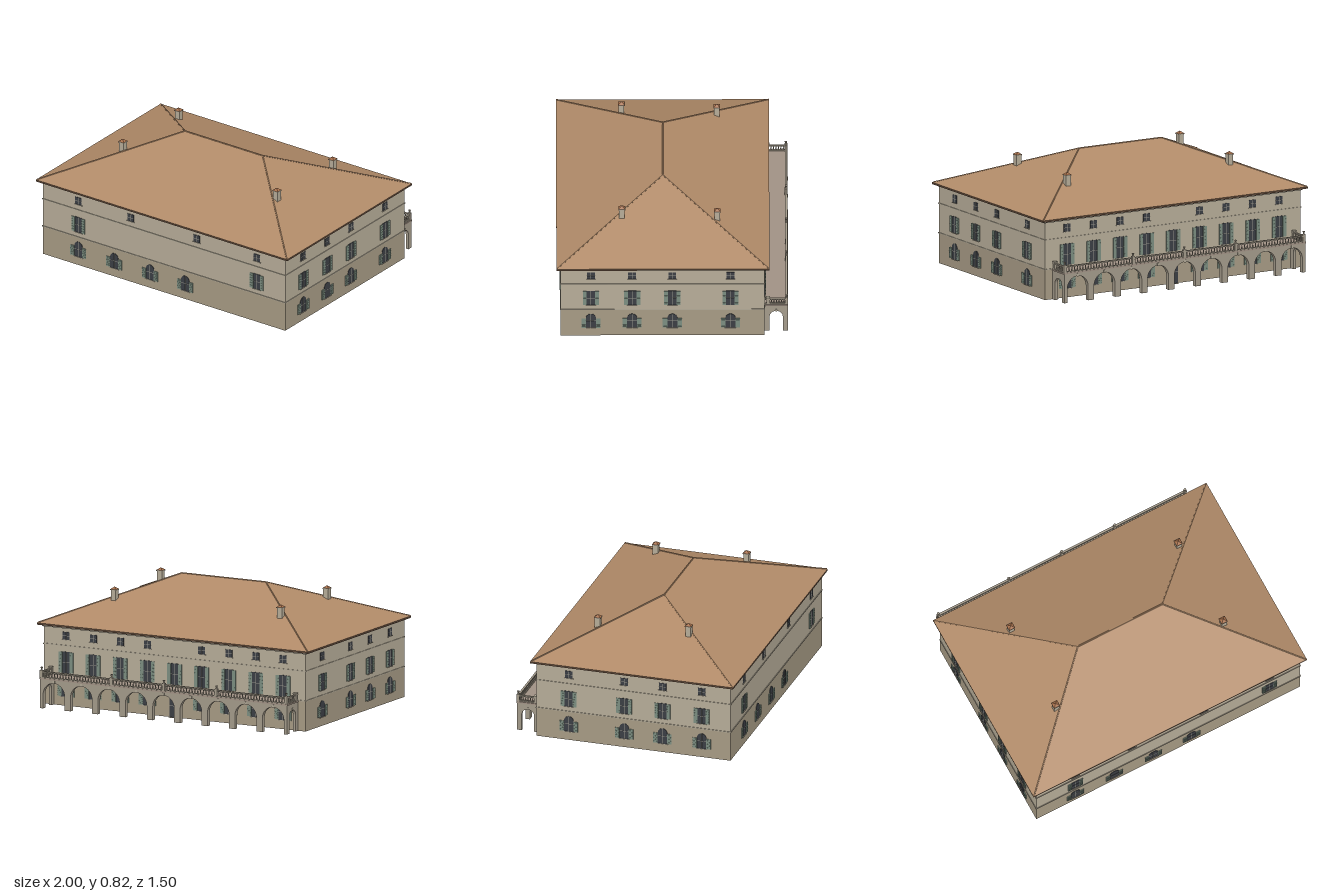
import * as THREE from 'three';
import { mergeGeometries } from 'three/addons/utils/BufferGeometryUtils.js';

const mat = (color, extra = {}) => new THREE.MeshStandardMaterial({ color, ...extra });
const M = {
  wall: mat(0xb6ac98), base: mat(0xa69a84), trim: mat(0xb0a896), glass: mat(0x3b3e44),
  shutter: mat(0x7b8d80), bar: mat(0x98968c), roof: mat(0xb08a68, { flatShading: true }),
  eave: mat(0x5e4838), stone: mat(0xa39a8a), deck: mat(0xa09184), ceiling: mat(0x57534f),
  beam: mat(0x4a3228), cap: mat(0xa8714c, { flatShading: true }),
};
const X = 0.965, ZF = 0.72, ZB = -0.595, ZM = (ZF + ZB) / 2, DEPTH = ZF - ZB;

function add(parent, name, geo, material, x = 0, y = 0, z = 0) {
  const mesh = new THREE.Mesh(geo, material);
  mesh.name = name;
  mesh.position.set(x, y, z);
  parent.add(mesh);
  return mesh;
}
const box = (parent, name, material, w, h, d, x, y, z) =>
  add(parent, name, new THREE.BoxGeometry(w, h, d), material, x, y, z);

// Rectangular or round-headed outline standing on y = 0
function openingShape(w, h, arched) {
  const r = w / 2, s = new THREE.Shape();
  s.moveTo(-r, 0).lineTo(r, 0);
  if (arched) s.lineTo(r, h - r).absarc(0, h - r, r, 0, Math.PI, false);
  else s.lineTo(r, h).lineTo(-r, h);
  s.closePath();
  return s;
}

// One window or door, facing +z on a wall plane at z = 0
function opening(parent, name, x, y, w, h, { arched = false, shutters = true } = {}) {
  const g = new THREE.Group();
  g.name = name;
  g.position.set(x, y, 0);
  parent.add(g);
  const glass = new THREE.ExtrudeGeometry(openingShape(w, h, arched),
    { depth: 0.028, bevelEnabled: false, curveSegments: 10 });
  add(g, 'glass', glass, M.glass, 0, 0, -0.025);
  const side = arched ? h - w / 2 : h;
  box(g, 'mullion', M.bar, 0.003, h, 0.002, 0, h / 2, 0.003);
  box(g, 'transom', M.bar, w, 0.003, 0.002, 0, h / 2, 0.003);
  box(g, 'sill', M.trim, w + 0.01, 0.004, 0.008, 0, -0.002, 0.003);
  if (!shutters) return;
  const sw = w / 2 - 0.002;
  for (const s of [-1, 1]) {
    box(g, 'shutter', M.shutter, sw, side - 0.004, 0.005, s * (w / 2 + sw / 2), side / 2, 0.004);
    for (let i = 1; i < 6; i++)
      box(g, 'slat', M.shutter, sw * 0.75, 0.003, 0.003, s * (w / 2 + sw / 2), side * i / 6, 0.007);
  }
}
const small = (p, x) => opening(p, 'atticWindow', x, 0.435, 0.05, 0.05, { shutters: false });
const middle = (p, x) => opening(p, 'upperWindow', x, 0.235, 0.055, 0.108);
const ground = (p, x) => opening(p, 'archedWindow', x, 0.06, 0.064, 0.106, { arched: true });

// Wall slab pierced by a row of round arches that run to the ground
function arcade(width, bays, r, spring, h, depth) {
  const s = new THREE.Shape(), step = width / bays;
  s.moveTo(-width / 2, 0);
  for (let i = 0; i < bays; i++) {
    const c = -width / 2 + step * (i + 0.5);
    s.lineTo(c - r, 0).lineTo(c - r, spring).absarc(c, spring, r, Math.PI, 0, true).lineTo(c + r, 0);
  }
  s.lineTo(width / 2, 0).lineTo(width / 2, h).lineTo(-width / 2, h).closePath();
  return new THREE.ExtrudeGeometry(s, { depth, bevelEnabled: false, curveSegments: 12 });
}

// Round bar between two points
function rod(parent, name, a, b, r, material) {
  const d = b.clone().sub(a);
  const m = add(parent, name, new THREE.CylinderGeometry(r, r, d.length(), 6), material);
  m.position.copy(a).add(b).multiplyScalar(0.5);
  m.quaternion.setFromUnitVectors(new THREE.Vector3(0, 1, 0), d.normalize());
}

function buildWalls(root) {
  const t = 0.022;
  for (const [name, m, y0, y1] of [['groundFloorWall', M.base, 0, 0.2], ['upperWall', M.wall, 0.2, 0.525]]) {
    const h = y1 - y0, y = (y0 + y1) / 2;
    for (const s of [-1, 1]) box(root, name, m, t, h, DEPTH, s * (X - t / 2), y, ZM);
    for (const z of [ZF - t / 2, ZB + t / 2]) box(root, name, m, 2 * X - 2 * t, h, t, 0, y, z);
  }
  // String courses
  for (const y of [0.2, 0.395]) {
    for (const s of [-1, 1]) box(root, 'stringCourse', M.trim, 0.004, 0.006, DEPTH + 0.008, s * (X + 0.002), y, ZM);
    for (const z of [ZF + 0.002, ZB - 0.002]) box(root, 'stringCourse', M.trim, 2 * X, 0.006, 0.004, 0, y, z);
  }
  // Interior ceiling, timber grid and side landing
  box(root, 'ceiling', M.ceiling, 2 * X - 2 * t, 0.008, DEPTH - 2 * t, 0, 0.394, ZM);
  for (let i = 0; i < 4; i++) box(root, 'longBeam', M.beam, 1.46, 0.014, 0.014, -0.17, 0.375, 0.09 + i * 0.15);
  for (let i = 0; i < 8; i++) box(root, 'crossBeam', M.beam, 0.014, 0.012, 0.56, 0.5 - i * 0.19, 0.386, 0.31);
  box(root, 'landing', M.ceiling, 0.09, 0.02, 0.88, -0.9, 0.18, 0.25);
}

function buildWindows(root) {
  const face = (name, x, z, turn) => {
    const g = new THREE.Group();
    g.name = name;
    g.position.set(x, 0, z);
    g.rotation.y = turn;
    root.add(g);
    return g;
  };
  const front = face('frontWindows', 0, ZF, 0);
  [-0.68, -0.265, 0.26, 0.74].forEach(x => small(front, x));
  [-0.68, 0.74].forEach(x => middle(front, x));
  [-0.68, -0.395, -0.11, 0.17].forEach(x => ground(front, x));

  for (const s of [-1, 1]) {
    const side = face('sideWindows', s * X, 0, s * Math.PI / 2);
    for (const z of [0.525, 0.26, 0, -0.375]) {
      small(side, -s * z);
      middle(side, -s * z);
      ground(side, -s * z);
    }
  }
  const back = face('backWindows', 0, ZB, Math.PI);
  for (let i = -4; i <= 4; i++) {
    const x = i * 0.2;
    if (i) small(back, x);
    opening(back, 'balconyDoor', x, 0.215, 0.055, 0.14);
    if (i) ground(back, x);
    else opening(back, 'backDoor', 0, 0, 0.075, 0.15, { arched: true, shutters: false });
  }
}

function buildRoof(root) {
  const y0 = 0.532, y1 = 0.808, rz = 0.06, ex = 1, ef = 0.748, eb = -0.627, rx = 0.31;
  const V = (x, y, z) => new THREE.Vector3(x, y, z);
  const A = V(-ex, y0, ef), B = V(ex, y0, ef), C = V(ex, y0, eb), D = V(-ex, y0, eb);
  const L = V(-rx, y1, rz), R = V(rx, y1, rz);
  const geo = new THREE.BufferGeometry().setFromPoints(
    [A, B, R, A, R, L, B, C, R, C, D, L, C, L, R, D, A, L]);
  geo.computeVertexNormals();
  add(root, 'hippedRoof', geo, M.roof);
  box(root, 'eaves', M.eave, 2 * ex, 0.012, ef - eb, 0, 0.526, (ef + eb) / 2);
  box(root, 'cornice', M.trim, 2 * X + 0.02, 0.012, DEPTH + 0.02, 0, 0.515, ZM);
  for (const [a, b] of [[A, L], [D, L], [B, R], [C, R], [L, R]]) {
    const lift = V(0, -0.001, 0);
    rod(root, 'ridgeTiles', a.clone().lerp(b, 0.006).add(lift), b.clone().add(lift), 0.005, M.roof);
  }
  // Chimneys
  for (const x of [-0.613, 0.613]) for (const [z, top] of [[0.325, 0.752], [-0.29, 0.732]]) {
    const g = new THREE.Group();
    g.name = 'chimney';
    g.position.set(x, top, z);
    root.add(g);
    box(g, 'stack', M.wall, 0.036, 0.1, 0.036, 0, -0.05, 0);
    box(g, 'capSlab', M.trim, 0.044, 0.006, 0.044, 0, -0.002, 0);
    add(g, 'capRoof', new THREE.ConeGeometry(0.03, 0.016, 4).rotateY(Math.PI / 4), M.cap, 0, 0.009, 0);
  }
}

function buildLoggia(root) {
  const g = new THREE.Group();
  g.name = 'loggia';
  root.add(g);
  const hx = 0.91, zo = -0.745;
  add(g, 'backArcade', arcade(2 * hx, 9, 0.079, 0.092, 0.195, 0.03), M.stone, 0, 0, zo);
  for (const s of [-1, 1]) {
    const side = arcade(0.15, 1, 0.0425, 0.108, 0.195, 0.02).rotateY(Math.PI / 2);
    add(g, 'sideArcade', side, M.stone, s > 0 ? hx - 0.02 : -hx, 0, -0.67);
    box(g, 'sideKeystone', M.trim, 0.004, 0.016, 0.008, s * (hx + 0.001), 0.156, -0.67);
  }
  for (let i = -4; i <= 4; i++) box(g, 'keystone', M.trim, 0.014, 0.02, 0.004, i * 2 * hx / 9, 0.178, zo - 0.001);
  box(g, 'deck', M.deck, 2 * hx + 0.01, 0.01, 0.15, 0, 0.195, -0.672);

  // Balustrade: turned balusters, rails, posts with finials
  const turned = new THREE.LatheGeometry([[0.003, 0], [0.005, 0.01], [0.0025, 0.022], [0.003, 0.033]]
    .map(p => new THREE.Vector2(...p)), 6);
  const balusters = [], zr = -0.737;
  for (let i = 0; i <= 86; i++) balusters.push(turned.clone().translate(-0.89 + i * 1.78 / 86, 0.203, zr));
  for (const s of [-1, 1]) for (let i = 0; i < 6; i++)
    balusters.push(turned.clone().translate(s * 0.902, 0.203, -0.64 - i * 0.016));
  add(g, 'balusters', mergeGeometries(balusters), M.stone);
  for (const [y, h] of [[0.203, 0.006], [0.239, 0.008]]) {
    box(g, 'backRail', M.stone, 1.82, h, 0.014, 0, y, zr);
    for (const s of [-1, 1]) box(g, 'sideRail', M.stone, 0.014, h, 0.135, s * 0.902, y, -0.665);
  }
  for (const x of [-0.902, -0.387, 0, 0.387, 0.902]) {
    box(g, 'post', M.stone, 0.02, 0.05, 0.018, x, 0.225, zr);
    add(g, 'finialStem', new THREE.CylinderGeometry(0.004, 0.007, 0.012, 8), M.stone, x, 0.255, zr);
    add(g, 'finialUrn', new THREE.CylinderGeometry(0.009, 0.005, 0.01, 8), M.stone, x, 0.265, zr);
  }
  for (const s of [-1, 1]) {
    box(g, 'wallPost', M.stone, 0.022, 0.05, 0.022, s * 0.902, 0.225, -0.618);
    box(g, 'wallPostCap', M.trim, 0.026, 0.005, 0.026, s * 0.902, 0.25, -0.618);
  }
}

export function createModel() {
  const root = new THREE.Group();
  root.name = 'villa';
  buildWalls(root);
  buildWindows(root);
  buildRoof(root);
  buildLoggia(root);
  return root;
}
